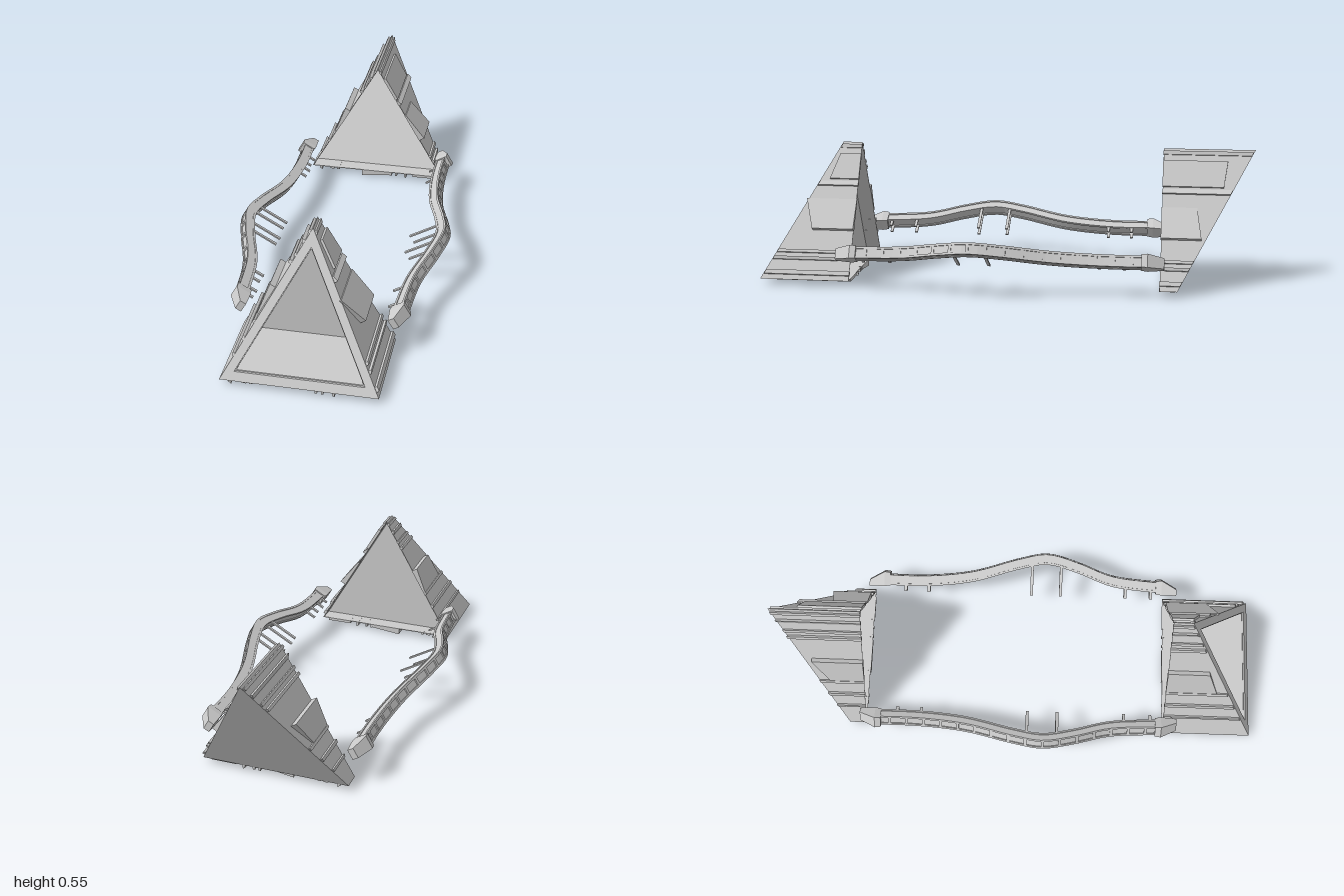
import * as THREE from 'three';

const material = new THREE.MeshStandardMaterial({ color: 0xcccccc, flatShading: true });

// Closed solid: a 2D profile placed ring by ring, capped at both ends
function loft(name, outline, rings, place) {
  const toVector = (p) => new THREE.Vector2(p[0], p[1]);
  const ccw = THREE.ShapeUtils.area(outline.map(toVector)) > 0;
  const profile = ccw ? outline : [...outline].reverse();
  const n = profile.length;
  const pts = Array.from({ length: rings }, (_, i) => profile.map((p) => place(p, i)));
  const tris = [];
  for (let i = 0; i < rings - 1; i++) {
    for (let j = 0; j < n; j++) {
      const k = (j + 1) % n;
      const a = pts[i][j], b = pts[i][k], c = pts[i + 1][k], d = pts[i + 1][j];
      tris.push([a, b, c], [a, c, d]);
    }
  }
  const first = pts[0], last = pts[rings - 1];
  for (const [a, b, c] of THREE.ShapeUtils.triangulateShape(profile.map(toVector), [])) {
    tris.push([first[a], first[c], first[b]], [last[a], last[b], last[c]]);
  }
  // turn the solid outward whichever way it was built
  let volume = 0;
  const cross = new THREE.Vector3();
  for (const [a, b, c] of tris) volume += a.dot(cross.crossVectors(b, c));
  const pos = [];
  for (const [a, b, c] of tris) {
    for (const v of volume > 0 ? [a, b, c] : [a, c, b]) pos.push(v.x, v.y, v.z);
  }
  const geometry = new THREE.BufferGeometry();
  geometry.setAttribute('position', new THREE.Float32BufferAttribute(pos, 3));
  geometry.computeVertexNormals();
  const mesh = new THREE.Mesh(geometry, material);
  mesh.name = name;
  return mesh;
}

// Triangular hull section and the slanted planes that cut its far ends
const APEX = [0, 0.55], RIGHT = [-0.303, 0.025], LEFT = [0.303, 0.025];
const TRIANGLE = [APEX, RIGHT, LEFT];
const INNER_Z = 0.63;
const rise = (y) => (Math.max(y, 0.025) - 0.025) / 0.525;
const frontZ = (y) => 1 - 0.29 * rise(y);
const backZ = (y) => -0.7 - 0.3 * rise(y);
const inset = ([x, y], s) => [x * s, 0.2 + (y - 0.2) * s];

// Ribs run the full length: start and end along the edge, height at each.
// Panels also give the z of their two end corners on the front and back hull.
const PLATES = [
  { from: APEX, to: LEFT,
    ribs: [[0.02, 0.045, 0.008, 0.005], [0.29, 0.325, 0.005, 0.013], [0.79, 0.81, 0.01, 0.01],
      [0.84, 0.86, 0.012, 0.008], [0.935, 0.965, 0.01, 0.01]],
    panels: [[0.09, 0.275, 0.01, 0.01, [0.715, 0.75], [-0.89, -0.875]],
      [0.42, 0.645, 0.004, 0.024, [0.84, 0.8], [-0.77, -0.79]]] },
  { from: APEX, to: RIGHT,
    ribs: [[0.02, 0.04, 0.009, 0.009], [0.085, 0.115, 0.014, 0.001], [0.17, 0.19, 0.008, 0.008],
      [0.22, 0.24, 0.012, 0.012], [0.61, 0.63, 0.008, 0.008], [0.72, 0.745, 0.011, 0.008],
      [0.83, 0.85, 0.01, 0.006]],
    panels: [[0.42, 0.61, 0.024, 0.006, [0.8, 0.84], [-0.84, -0.77]]] },
  { from: RIGHT, to: LEFT,
    ribs: [[0.055, 0.075, 0.006, 0.016], [0.14, 0.17, 0.006, 0.006], [0.19, 0.21, 0.006, 0.006],
      [0.6, 0.615, 0.013, 0.013], [0.64, 0.655, 0.013, 0.013], [0.71, 0.725, 0.014, 0.019]],
    panels: [[0.385, 0.61, 0.025, 0.01, [0.93, 0.9], [-0.68, -0.67]],
      [0.775, 0.95, 0.009, 0.009, [0.95, 0.95], [-0.69, -0.69]]] },
];

function addPlating(hull, endZ, dir) {
  const startZ = dir * (INNER_Z - 0.002);
  for (const { from, to, ribs, panels } of PLATES) {
    const a = new THREE.Vector2(...from), b = new THREE.Vector2(...to);
    const normal = new THREE.Vector2(b.y - a.y, a.x - b.x).normalize();
    if (normal.dot(new THREE.Vector2(0, 0.2).sub(a)) > 0) normal.negate();
    const at = (s, h) => a.clone().lerp(b, s).addScaledVector(normal, h).toArray();
    const section = ([s0, s1, h0, h1]) => [at(s0, -0.003), at(s0, h0), at(s1, h1), at(s1, -0.003)];
    for (const rib of ribs) {
      hull.add(loft('rib', section(rib), 2, ([x, y], i) =>
        new THREE.Vector3(x, y, i ? endZ(y) - dir * 0.003 : startZ)));
    }
    for (const panel of panels) {
      const [e0, e1] = dir > 0 ? panel[4] : panel[5];
      const corners = section(panel).map((p, i) => [...p, i < 2 ? e0 : e1]);
      hull.add(loft('panel', corners, 2, ([x, y, end], i) =>
        new THREE.Vector3(x, y, i ? end : startZ)));
    }
  }
}

// Rail frame: n points out and up from the hull side, v runs along that side
const COS = Math.cos(Math.PI / 6), SIN = 0.5;
const bowCurve = new THREE.CatmullRomCurve3([
  [-0.62, -0.008], [-0.4, -0.008], [-0.2, 0.017], [0, 0.078], [0.12, 0.102],
  [0.25, 0.07], [0.4, 0.016], [0.62, -0.006],
].map(([z, t]) => new THREE.Vector3(0, t, z)));
const samples = bowCurve.getPoints(160);
function bow(z) {
  const k = samples.findIndex((p) => p.z >= z);
  const a = samples[k - 1], b = samples[k];
  return THREE.MathUtils.lerp(a.y, b.y, (z - a.z) / (b.z - a.z));
}
const rect = (n0, n1, v0, v1) => [[n0, v0], [n1, v0], [n1, v1], [n0, v1]];

// Beam section, grooved on all four faces, mirrored from one quarter
const N = 0.022, V = 0.024, G = 0.015, D = 0.005;
const quarter = [[N - D, G], [N, G], [N, V], [0.013, V], [0.013, V - 0.003]];
const flip = (pts, sn, sv) => pts.map(([n, v]) => [n * sn, v * sv]);
const turned = [...quarter].reverse();
const BEAM = [...quarter, ...flip(turned, -1, 1), ...flip(quarter, -1, -1), ...flip(turned, 1, -1)];

function makeRail(side) {
  const rail = new THREE.Group();
  rail.name = side > 0 ? 'leftRail' : 'rightRail';
  const place = (n, v, z) =>
    new THREE.Vector3(side * (0.32 + n * COS - v * SIN), 0.147 + n * SIN + v * COS, z);

  // bowed beam
  const steps = 36;
  rail.add(loft('beam', BEAM, steps + 1, ([n, v], i) => {
    const z = -0.57 + 1.17 * i / steps;
    return place(n + bow(z), v, z);
  }));

  // cross ribs dividing the outer channel
  for (let i = 0; i < 16; i++) {
    const z = -0.52 + i * 1.07 / 15;
    rail.add(loft('crossRib', rect(N - D - 0.003, N, -G, G), 2, ([n, v], j) => {
      const end = z + (j ? 0.006 : -0.006);
      return place(n + bow(end), v, end);
    }));
  }

  // paired pegs reaching in toward the middle
  for (const z of [-0.49, -0.39, 0.055, 0.18, 0.46, 0.57]) {
    for (const v of [-0.017, 0.017]) {
      rail.add(loft('peg', rect(-0.056, bow(z) - 0.015, v - 0.003, v + 0.003), 2,
        ([n, w], i) => place(n, w, z + (i ? 0.006 : -0.006))));
    }
  }

  // tapered end caps leaning in to the hulls
  const capRings = [[0, -0.032, 0.024, 0.026], [0.025, -0.036, 0.027, 0.028], [0.09, -0.036, -0.01, 0.022]];
  for (const [start, dir] of [[0.59, 1], [-0.557, -1]]) {
    rail.add(loft('endCap', rect(0, 1, -1, 1), 3, ([n, v], i) => {
      const [z, n0, n1, half] = capRings[i];
      return place(n ? n1 : n0, v * half, start + dir * z);
    }));
  }
  return rail;
}

export function createModel() {
  const model = new THREE.Group();
  model.name = 'model';
  const point = (p, scale, zAt) => {
    const [x, y] = inset(p, scale);
    return new THREE.Vector3(x, y, zAt(y));
  };

  // front hull: open at the inner end, a bulkhead, and a slanted stepped mouth
  const front = new THREE.Group();
  front.name = 'frontHull';
  const frontRings = [
    [0.985, () => 0.692], [0.985, () => INNER_Z], [1, () => INNER_Z], [1, frontZ],
    [0.82, frontZ], [0.815, (y) => frontZ(y) - 0.006], [0.797, (y) => frontZ(y) - 0.006],
    [0.795, () => 0.7],
  ];
  front.add(loft('frontShell', TRIANGLE, frontRings.length, (p, i) => point(p, ...frontRings[i])));
  addPlating(front, frontZ, 1);

  // back hull: open at the inner end, closed by the overhanging slanted wall
  const back = new THREE.Group();
  back.name = 'backHull';
  const backRings = [
    [0.985, (y) => backZ(y) + 0.008], [0.985, () => -INNER_Z], [1, () => -INNER_Z], [1, backZ],
  ];
  back.add(loft('backShell', TRIANGLE, backRings.length, (p, i) => point(p, ...backRings[i])));
  addPlating(back, backZ, -1);

  model.add(front, back, makeRail(1), makeRail(-1));
  return model;
}
